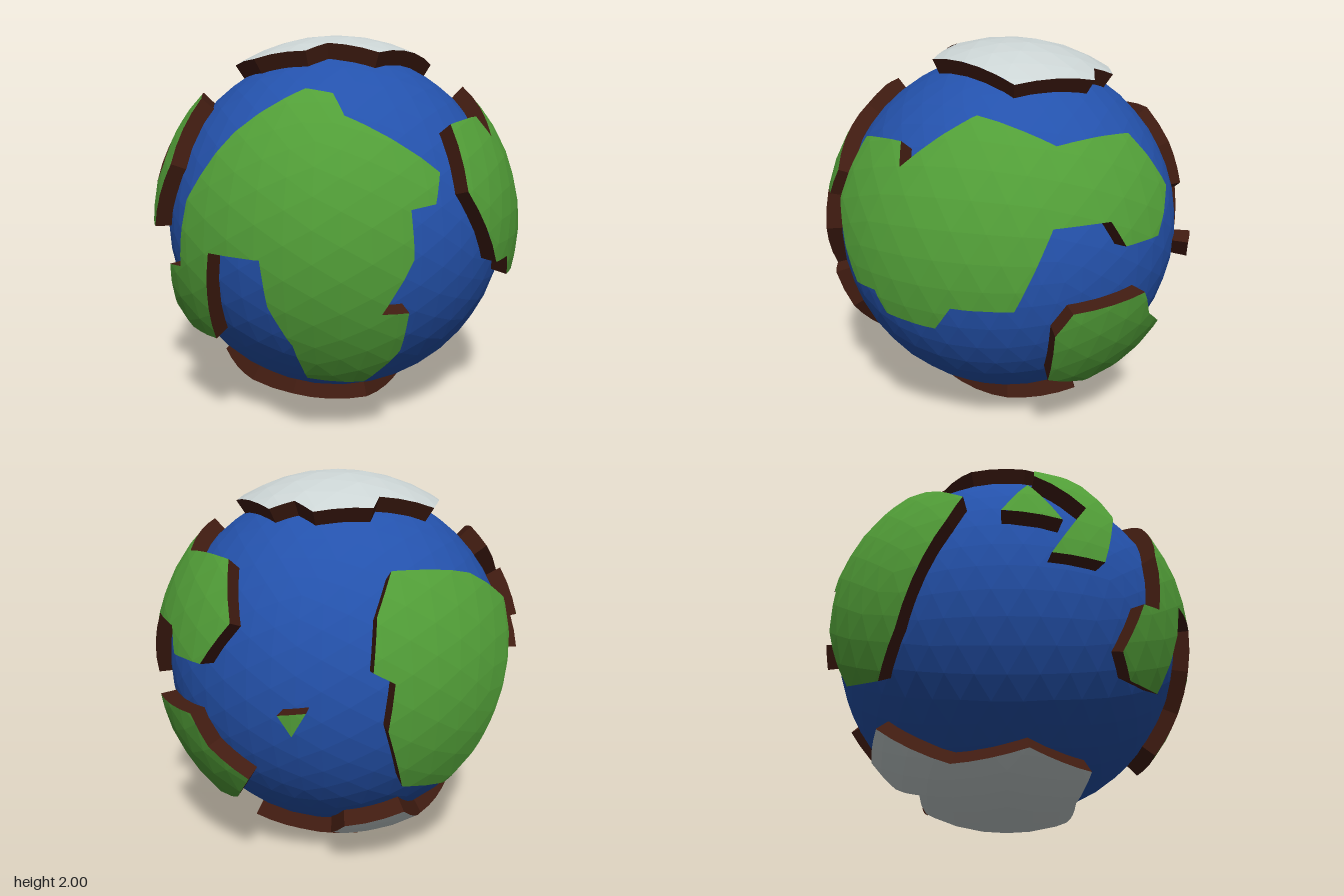
import * as THREE from 'three';

const CENTRE_Y = 1, SEA = 0.917, LAND = 0.998, ROOT = 0.89, DETAIL = 7;
const paint = (color) => new THREE.MeshStandardMaterial({ color, flatShading: true });

// Lift a flat outline, drawn on the globe's disc as seen from a direction
// (azimuth and elevation in degrees), onto the unit sphere
function lift(azimuth, elevation, outline) {
  const a = THREE.MathUtils.degToRad(azimuth), e = THREE.MathUtils.degToRad(elevation);
  const toward = new THREE.Vector3(Math.sin(a) * Math.cos(e), Math.sin(e), Math.cos(a) * Math.cos(e));
  const right = new THREE.Vector3(Math.cos(a), 0, -Math.sin(a));
  const up = toward.clone().cross(right);
  return outline.map(([u, v]) => new THREE.Vector3()
    .addScaledVector(right, u).addScaledVector(up, v)
    .addScaledVector(toward, Math.sqrt(Math.max(0, 1 - u * u - v * v))).normalize());
}

// Project from the globe's centre, so great circles become straight lines
function flatten(points) {
  const mid = points.reduce((s, p) => s.add(p), new THREE.Vector3()).normalize();
  const side = new THREE.Vector3(0.3, 0.2, 0.9).cross(mid).normalize();
  const up = mid.clone().cross(side);
  return points.map((p) => new THREE.Vector2(p.dot(side), p.dot(up)).divideScalar(p.dot(mid)));
}

// Keep the part of a polygon on the inner side of a plane through the centre
function clip(polygon, normal) {
  const kept = [];
  polygon.forEach((p, i) => {
    const q = polygon[(i + 1) % polygon.length];
    const dp = p.dot(normal), dq = q.dot(normal);
    if (dp >= 0) kept.push(p);
    if ((dp >= 0) !== (dq >= 0)) kept.push(p.clone().lerp(q, dp / (dp - dq)));
  });
  return kept;
}

function facetGeometry(corners) {
  const geometry = new THREE.BufferGeometry().setFromPoints(corners);
  geometry.computeVertexNormals();
  return geometry;
}

// Facets of the land sphere, each as three corners
function sphereFacets() {
  const position = new THREE.IcosahedronGeometry(LAND, DETAIL).getAttribute('position');
  const facets = [];
  for (let i = 0; i < position.count; i += 3) {
    facets.push([i, i + 1, i + 2].map((k) => new THREE.Vector3().fromBufferAttribute(position, k)));
  }
  return facets;
}

// Plate top: facets of the land sphere cut to the outline
function topGeometry(points, facets) {
  const out = [];
  for (const [i, j, k] of THREE.ShapeUtils.triangulateShape(flatten(points), [])) {
    const a = points[i], b = points[j], c = points[k];
    const planes = [a.clone().cross(b), b.clone().cross(c), c.clone().cross(a)];
    if (planes[0].dot(c) < 0) planes.forEach((n) => n.negate());
    for (const facet of facets) {
      const piece = planes.reduce(clip, facet);
      for (let m = 1; m + 1 < piece.length; m++) out.push(piece[0], piece[m], piece[m + 1]);
    }
  }
  return facetGeometry(out);
}

// Plate rim: radial walls from the outline down into the sea
function rimGeometry(points) {
  const out = [];
  points.forEach((p, i) => {
    const q = points[(i + 1) % points.length];
    const steps = Math.ceil(p.distanceTo(q) / 0.12);
    for (let s = 0; s < steps; s++) {
      const [a, b] = [s, s + 1].map((t) => p.clone().lerp(q, t / steps).normalize());
      const [low, lowNext] = [a, b].map((v) => v.clone().multiplyScalar(ROOT));
      [a, b].forEach((v) => v.multiplyScalar(LAND));
      out.push(a, low, lowNext, a, lowNext, b);
    }
  });
  return facetGeometry(out);
}

export function createModel() {
  const green = paint(0x529f38), white = paint(0xcbd4d4), brown = paint(0x411c11), blue = paint(0x2452ac);
  const facets = sphereFacets();
  const model = new THREE.Group();
  model.name = 'globe';

  const addMesh = (parent, name, geometry, material) => {
    const mesh = new THREE.Mesh(geometry, material);
    mesh.name = name;
    parent.add(mesh);
    return mesh;
  };

  const addPlate = (name, material, azimuth, elevation, outline) => {
    const points = lift(azimuth, elevation, outline);
    if (THREE.ShapeUtils.isClockWise(flatten(points))) points.reverse();
    const plate = new THREE.Group();
    plate.name = name;
    plate.position.y = CENTRE_Y;
    addMesh(plate, 'top', topGeometry(points, facets), material);
    addMesh(plate, 'rim', rimGeometry(points), brown);
    model.add(plate);
  };

  // Sea
  addMesh(model, 'sea', new THREE.IcosahedronGeometry(SEA, DETAIL), blue).position.y = CENTRE_Y;

  // Continents
  addPlate('frontContinent', green, 0, 0, [
    [-.07, .75], [.06, .73], [.12, .635], [.555, .38], [.54, .245], [.43, .23], [.45, .01], [.31, -.245],
    [.43, -.25], [.39, -.465], [.215, -.66], [-.055, -.63], [-.105, -.42], [-.21, -.22], [-.24, .005],
    [-.5, .005], [-.515, -.47], [-.68, -.47], [-.77, -.365], [-.76, -.115], [-.68, -.1], [-.63, .23],
    [-.395, .55]]);
  addPlate('leftContinent', green, 90, 0, [
    [-.55, .58], [-.31, .6], [-.29, .5], [.04, .73], [.41, .61], [.69, .62], [.88, .36], [.87, .155],
    [.74, .155], [.67, .28], [.44, .28], [.29, -.095], [0, -.095], [-.085, -.22], [-.35, -.2],
    [-.41, -.09], [-.53, -.09], [-.67, .28]]);
  addPlate('backLeftContinent', green, 135, -28, [
    [-.21, .34], [.2, .36], [.28, .2], [.45, .02], [.25, -.16], [.01, -.22], [-.23, -.12], [-.28, .22]]);
  addPlate('backRightContinent', green, 215, 25, [
    [-.08, .2], [.36, .18], [.61, .07], [.6, -.1], [.38, -.62], [.2, -.785], [-.055, -.76], [-.17, -.5],
    [-.14, -.3], [-.235, -.24], [-.19, 0]]);
  addPlate('rightContinent', green, -90, 0, [
    [.14, .7], [.32, .68], [.52, .365], [.45, .03], [.2, .03], [.38, .36], [.135, .6]]);

  // Islands
  addPlate('rightIsland', green, -90, 0, [[.1, .49], [.26, .235], [-.03, .27]]);
  addPlate('backIsland', green, 180, 0, [[.07, 0], [-.065, -.02], [0, -.12]]);

  // Ice caps
  addPlate('northIceCap', white, 0, 90, [
    [0, .555], [.11, .475], [.23, .5], [.51, .17], [.25, -.33], [-.01, -.29], [-.11, -.38], [-.39, -.28],
    [-.53, -.1], [-.53, .195], [-.28, .36], [-.27, .46]]);
  addPlate('southIceCap', white, 0, -90, [
    [.2, .31], [-.2, .34], [-.41, .4], [-.63, .1], [-.52, -.26], [-.47, -.62], [-.18, -.68],
    [-.085, -.565], [-.2, -.43], [.12, -.415], [.35, -.47], [.38, -.1]]);
  return model;
}
